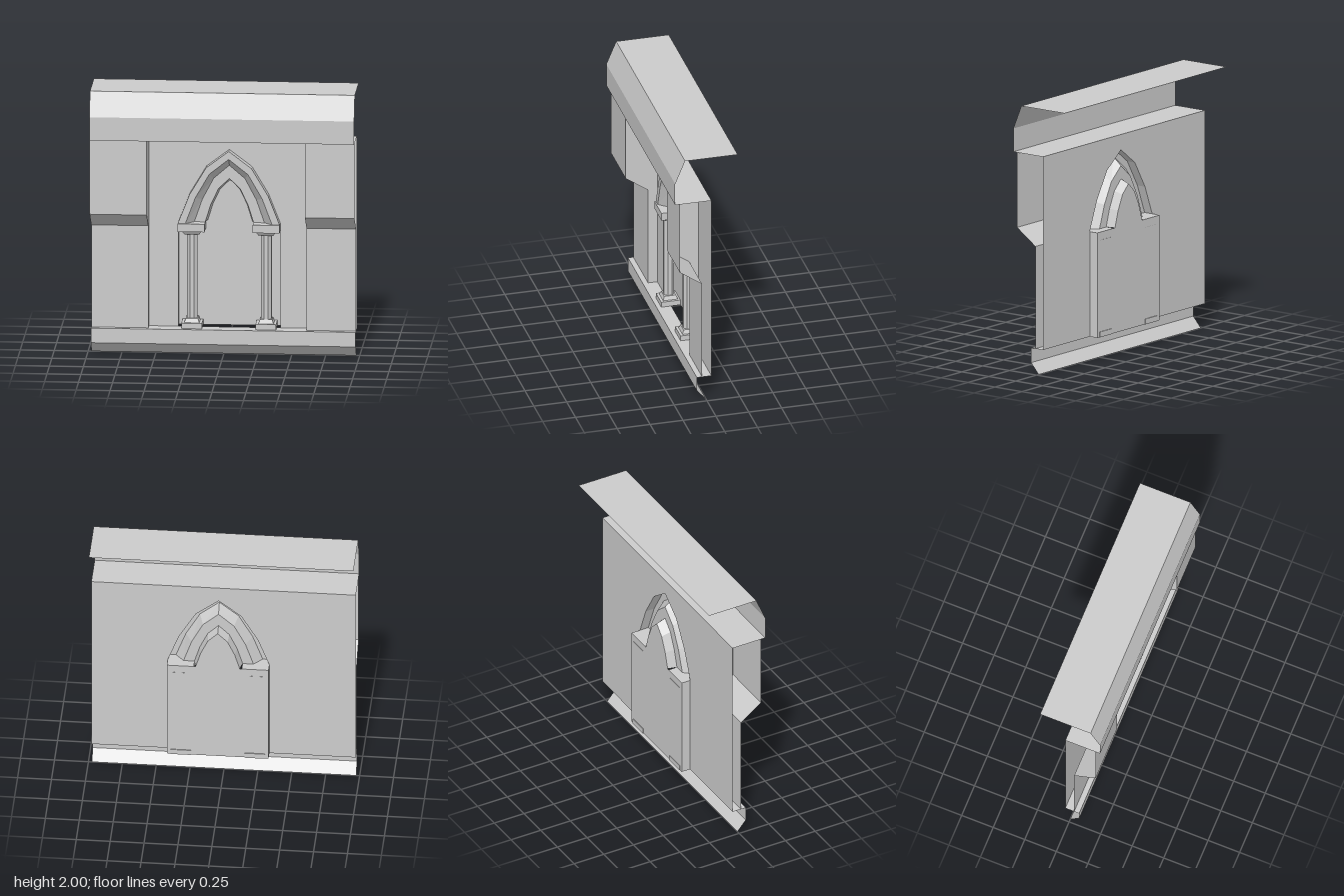
import * as THREE from 'three';

const material = new THREE.MeshStandardMaterial({ color: 0xcccccc, flatShading: true, side: THREE.DoubleSide });

const HALF = 0.975;      // half width of the wall section
const WALL_Z = -0.04;    // main wall plane
const PANEL_Z = -0.11;   // recessed panel plane
const MID = 0.037;       // centre line of the arch
const SPRING = 0.98;     // height where the arch starts
const FLOOR = 0.19, LEDGE = 1.645;
const NICHE = 0.375;     // half width of the niche

export function createModel() {
  const group = new THREE.Group();

  const add = (name, geometry, x = 0, y = 0, z = 0) => {
    const mesh = new THREE.Mesh(geometry, material);
    mesh.name = name;
    mesh.position.set(x, y, z);
    group.add(mesh);
    return mesh;
  };

  // Surface through rows of points, each row running left to right
  const loft = (rows) => {
    const pos = [];
    for (let i = 0; i < rows.length - 1; i++) {
      for (let j = 0; j < rows[i].length - 1; j++) {
        const a = rows[i][j], b = rows[i + 1][j], c = rows[i + 1][j + 1], d = rows[i][j + 1];
        pos.push(...a, ...b, ...c, ...a, ...c, ...d);
      }
    }
    const g = new THREE.BufferGeometry();
    g.setAttribute('position', new THREE.Float32BufferAttribute(pos, 3));
    g.computeVertexNormals();
    return g;
  };

  // Open moulding: a [z, y] profile carried straight from x0 to x1
  const moulding = (profile, x0, x1) => loft(profile.map(([z, y]) => [[x0, y, z], [x1, y, z]]));

  // Pointed arch line from the left spring over the apex to the right spring
  const archLine = (w, h) => {
    const half = [[1, 0], [0.77, 0.4], [0.445, 0.77]];
    const left = half.map(([u, v]) => [MID - u * w, SPRING + v * h]);
    const right = half.map(([u, v]) => [MID + u * w, SPRING + v * h]).reverse();
    return [...left, [MID, SPRING + h], ...right];
  };
  const toShape = (points) => new THREE.Shape(points.map(([x, y]) => new THREE.Vector2(x, y)));

  // Cornice, with the ledge running back to the wall
  add('cornice', moulding([[-0.24, 2], [0.16, 2], [0.235, 1.82], [0.235, LEDGE], [WALL_Z, LEDGE]], -HALF, HALF));

  // Base course with undercut lower edge
  add('baseCourse', moulding([[WALL_Z, FLOOR], [0.07, FLOOR], [0.07, 0.08], [0, 0]], -HALF, HALF));

  // Wall with the niche cut out of it
  const wall = toShape([
    [-HALF, FLOOR], [MID - NICHE, FLOOR], ...archLine(NICHE, 0.55),
    [MID + NICHE, FLOOR], [HALF, FLOOR], [HALF, LEDGE], [-HALF, LEDGE],
  ]);
  add('wall', new THREE.ShapeGeometry(wall), 0, 0, WALL_Z);

  // Stepped pilasters, closed on the side facing the niche
  const step = [[0.2, LEDGE], [0.2, 1.08], [0.03, 0.96], [0.03, FLOOR]];
  const sideShape = toShape([...step, [WALL_Z, FLOOR], [WALL_Z, LEDGE]]);
  for (const [side, x0, x1, inner] of [['right', -HALF, -0.555, -0.555], ['left', 0.61, HALF, 0.61]]) {
    add(side + 'Pilaster', moulding(step, x0, x1));
    add(side + 'PilasterSide', new THREE.ShapeGeometry(sideShape).rotateY(-Math.PI / 2), inner);
  }

  // Arch mouldings: [half width, rise, z] from the hood to the inner reveal
  const rings = [
    [NICHE, 0.55, WALL_Z], [NICHE, 0.55, 0.03], [0.32, 0.49, 0.03],
    [0.258, 0.43, WALL_Z], [0.178, 0.33, WALL_Z], [0.163, 0.305, PANEL_Z],
  ];
  add('archMoulding', loft(rings.map(([w, h, z]) => archLine(w, h).map(([x, y]) => [x, y, z]))));

  // Recessed panel: full width below the spring, arched above
  const panel = toShape([
    [MID - NICHE, FLOOR], [MID - NICHE, SPRING], ...archLine(0.163, 0.305),
    [MID + NICHE, SPRING], [MID + NICHE, FLOOR],
  ]);
  add('nichePanel', new THREE.ShapeGeometry(panel), 0, 0, PANEL_Z);

  // Square tapered block, given by its half widths
  const taper = (top, bottom, h) =>
    new THREE.CylinderGeometry(top * Math.SQRT2, bottom * Math.SQRT2, h, 4).rotateY(Math.PI / 4);

  for (const [side, s] of [['right', -1], ['left', 1]]) {
    // Niche jamb
    const edge = MID + s * NICHE;
    add(side + 'Jamb', loft([WALL_Z, PANEL_Z].map((z) => [[edge, FLOOR, z], [edge, SPRING, z]])));

    // Column with plinth, foot, neck and capital
    const x = MID + s * 0.273;
    add(side + 'Plinth', new THREE.BoxGeometry(0.152, 0.04, 0.152), x, 0.21, WALL_Z);
    add(side + 'ColumnFoot', taper(0.045, 0.056, 0.03), x, 0.245, WALL_Z);
    add(side + 'Shaft', new THREE.CylinderGeometry(0.041, 0.041, 0.64, 8).rotateY(Math.PI / 8), x, 0.58, WALL_Z);
    add(side + 'Neck', taper(0.071, 0.054, 0.025), x, 0.9075, WALL_Z);
    add(side + 'Capital', new THREE.BoxGeometry(0.198, 0.06, 0.15), MID + s * 0.276, 0.95, -0.035);
  }

  return group;
}
